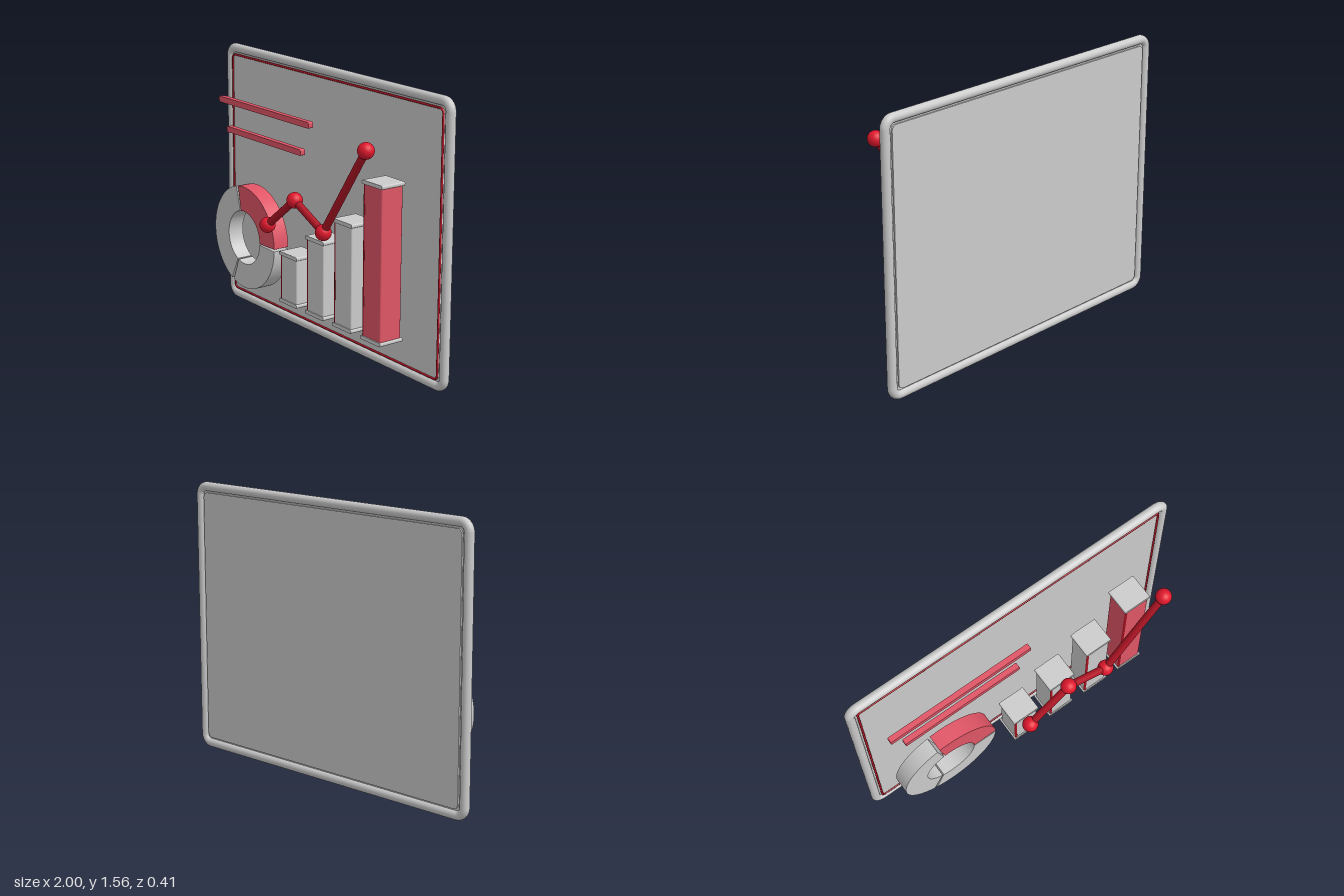
import * as THREE from 'three';

const mat = (color) => new THREE.MeshStandardMaterial({ color });
const grey = mat(0xcccccc);
const red = mat(0xe0182d);
const darkRed = mat(0xb01525);
const softRed = mat(0xe05566);

function add(parent, name, geometry, material, x = 0, y = 0, z = 0) {
  const mesh = new THREE.Mesh(geometry, material);
  mesh.name = name;
  mesh.position.set(x, y, z);
  parent.add(mesh);
  return mesh;
}

function subgroup(parent, name, x = 0, y = 0, z = 0) {
  const g = new THREE.Group();
  g.name = name;
  g.position.set(x, y, z);
  parent.add(g);
  return g;
}

// Centred slab with rounded corners in x-y, depth along z
function slab(w, h, depth, r) {
  const a = w / 2, b = h / 2, q = Math.PI / 2;
  const s = new THREE.Shape();
  s.absarc(a - r, b - r, r, 0, q);
  s.absarc(-a + r, b - r, r, q, 2 * q);
  s.absarc(-a + r, -b + r, r, 2 * q, 3 * q);
  s.absarc(a - r, -b + r, r, 3 * q, 4 * q);
  return new THREE.ExtrudeGeometry(s, { depth, bevelEnabled: false, curveSegments: 8 })
    .translate(0, 0, -depth / 2);
}

// Round rod between two points
function rod(parent, name, a, b, r, material) {
  const d = b.clone().sub(a);
  const mesh = add(parent, name, new THREE.CylinderGeometry(r, r, d.length(), 20), material);
  mesh.position.copy(a).addScaledVector(d, 0.5);
  mesh.quaternion.setFromUnitVectors(new THREE.Vector3(0, 1, 0), d.normalize());
}

// Tubular rounded rectangle; w and h are measured along the tube centre
function tubeLoop(parent, name, w, h, corner, r, material) {
  const a = w / 2 - corner, b = h / 2 - corner;
  const v = (x, y) => new THREE.Vector3(x, y, 0);
  for (const s of [-1, 1]) {
    rod(parent, name + 'Rail', v(-a, s * h / 2), v(a, s * h / 2), r, material);
    rod(parent, name + 'Side', v(s * w / 2, -b), v(s * w / 2, b), r, material);
  }
  [[a, b], [-a, b], [-a, -b], [a, -b]].forEach(([x, y], i) => {
    const bend = add(parent, name + 'Corner',
      new THREE.TorusGeometry(corner, r, 20, 12, Math.PI / 2), material, x, y);
    bend.rotation.z = i * Math.PI / 2;
  });
}

// Ring sector between two angles in degrees
function ringSector(from, to, inner, outer, depth) {
  const a = THREE.MathUtils.degToRad(from), b = THREE.MathUtils.degToRad(to);
  const s = new THREE.Shape();
  s.absarc(0, 0, outer, a, b, false);
  s.absarc(0, 0, inner, b, a, true);
  return new THREE.ExtrudeGeometry(s, { depth, bevelEnabled: false, curveSegments: 40 })
    .translate(0, 0, -depth / 2);
}

export function createModel() {
  const model = new THREE.Group();
  model.name = 'chartBoard';

  // Board: tubular frame, panel and thin inlay
  const board = subgroup(model, 'board', 0, 0.78, -0.18);
  tubeLoop(board, 'frame', 1.948, 1.508, 0.05, 0.026, grey);
  add(board, 'backing', slab(1.93, 1.49, 0.012, 0.04), grey);
  add(board, 'panel', slab(1.88, 1.44, 0.03, 0.03), grey);
  const inlay = subgroup(board, 'inlay', 0, 0, 0.016);
  tubeLoop(inlay, 'inlay', 1.873, 1.433, 0.025, 0.006, darkRed);

  // Heading lines
  add(model, 'upperTextLine', slab(0.875, 0.034, 0.032, 0.008), softRed, -0.423, 1.261, -0.03);
  add(model, 'lowerTextLine', slab(0.725, 0.034, 0.032, 0.008), softRed, -0.422, 1.096, -0.03);

  // Ring chart
  const ring = subgroup(model, 'ringChart', -0.56, 0.5, -0.024);
  [[0.5, 101, softRed], [104, 245, grey], [248, 358, grey]].forEach(([from, to, m]) =>
    add(ring, 'ringSegment', ringSector(from, to, 0.157, 0.302, 0.096), m));

  // Bar chart: capped columns with an accent strip on the front left edge
  const base = 0.235, cap = 0.021;
  [0.53, 0.68, 0.835, 1.096].forEach((top, i) => {
    const bar = subgroup(model, 'bar', -0.073 + i * 0.245, 0, -0.012);
    const h = top - base - 2 * cap, mid = (top + base) / 2;
    const body = add(bar, 'barBody', slab(0.15, 0.138, h, 0.008), i === 3 ? softRed : grey, 0, mid);
    body.rotation.x = -Math.PI / 2;
    add(bar, 'barStrip', new THREE.CylinderGeometry(0.008, 0.008, h, 12), darkRed, -0.067, mid, 0.063);
    for (const y of [base + cap / 2, top - cap / 2])
      add(bar, 'barCap', slab(0.166, cap, 0.15, 0.008), grey, 0, y);
  });

  // Trend line with round markers
  const trend = subgroup(model, 'trendLine', 0, 0, 0.163);
  const points = [[-0.12, 0.706], [0.134, 0.902], [0.388, 0.785], [0.738, 1.291]]
    .map(([x, y]) => new THREE.Vector3(x, y, 0));
  points.forEach((p, i) => {
    add(trend, 'trendMarker', new THREE.SphereGeometry(0.044, 32, 20), red, p.x, p.y);
    if (i) rod(trend, 'trendRod', points[i - 1], p, 0.021, darkRed);
  });

  return model;
}
